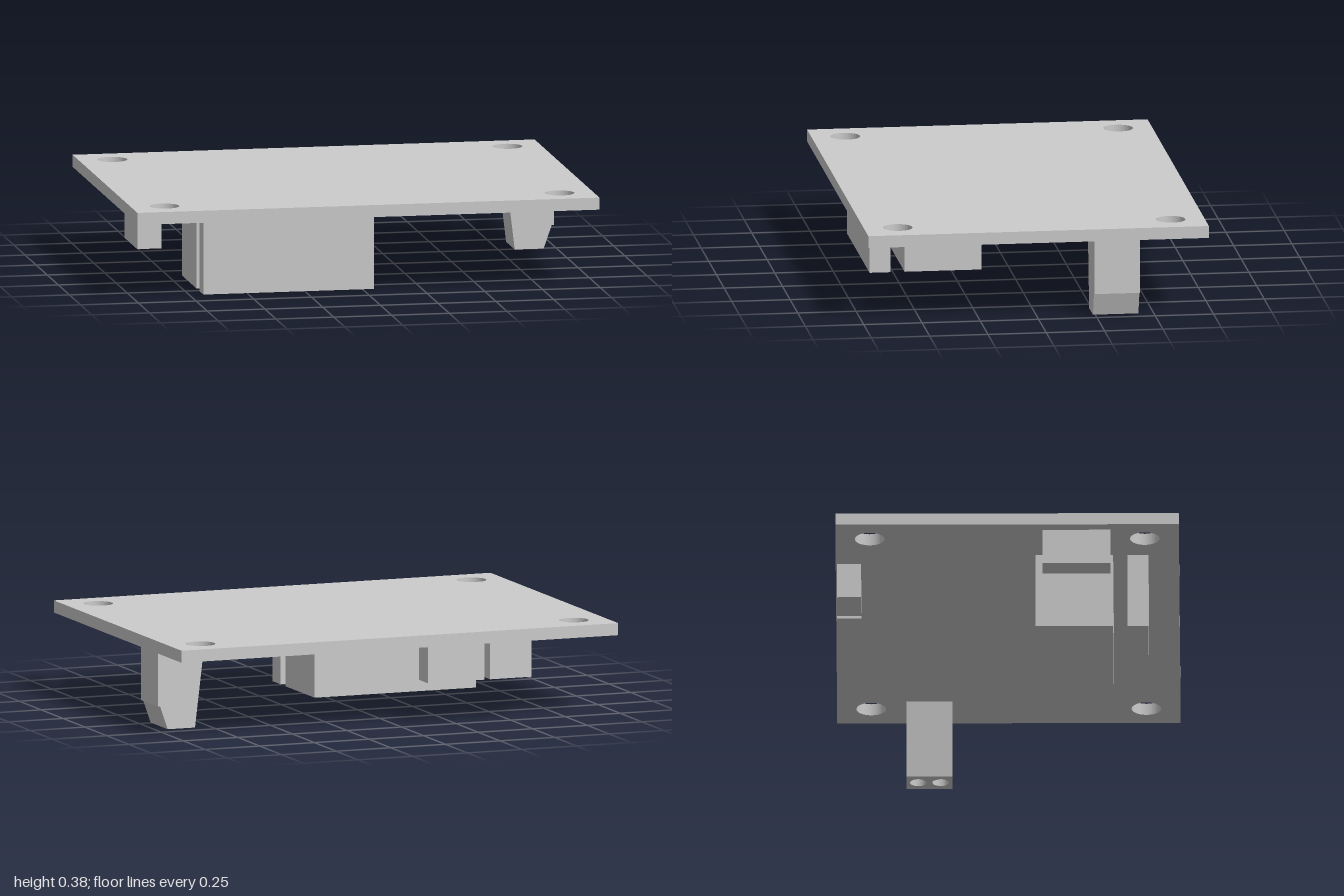
import * as THREE from 'three';

const UNDER = 0.333, TOP = 0.385; // board faces
const mat = new THREE.MeshStandardMaterial({ color: 0xcccccc });

function part(name, geometry) {
  const mesh = new THREE.Mesh(geometry, mat);
  mesh.name = name;
  return mesh;
}

// Block hanging from the underside of the board down to height y
function hangingBlock(name, x0, x1, z0, z1, y) {
  const mesh = part(name, new THREE.BoxGeometry(x1 - x0, UNDER - y, z1 - z0));
  mesh.position.set((x0 + x1) / 2, (UNDER + y) / 2, (z0 + z1) / 2);
  return mesh;
}

// Horizontal slab with round holes; holes are [x, z, radius]
function drilledSlab(x0, x1, z0, z1, y0, y1, holes) {
  const shape = new THREE.Shape([[x0, -z1], [x1, -z1], [x1, -z0], [x0, -z0]].map(p => new THREE.Vector2(...p)));
  for (const [x, z, r] of holes) {
    shape.holes.push(new THREE.Path().absarc(x, -z, r, 0, Math.PI * 2, true));
  }
  const geo = new THREE.ExtrudeGeometry(shape, { depth: y1 - y0, bevelEnabled: false, curveSegments: 24 });
  return geo.rotateX(-Math.PI / 2).translate(0, y0, 0);
}

function screwTerminal() {
  const group = new THREE.Group();
  group.name = 'screwTerminal';
  const z0 = -0.435, z1 = -0.24, step = 0.1;

  // Upper body, slanted on the inner side
  const profile = new THREE.Shape([[0.78, UNDER], [0.808, step], [0.99, step], [0.99, UNDER]].map(p => new THREE.Vector2(...p)));
  const body = new THREE.ExtrudeGeometry(profile, { depth: z1 - z0, bevelEnabled: false });
  group.add(part('terminalBody', body.translate(0, 0, z0)));

  // Tapered foot with two screw wells
  const foot = drilledSlab(0.808, 0.98, z0, z1, 0, step, [[0.882, -0.385, 0.035], [0.882, -0.29, 0.035]]);
  const pos = foot.attributes.position;
  for (let i = 0; i < pos.count; i++) {
    if (pos.getY(i) > 0.01) continue;
    if (pos.getX(i) < 0.81) pos.setX(i, 0.82);
    if (pos.getX(i) > 0.97) pos.setX(i, 0.945);
  }
  foot.computeVertexNormals();
  group.add(part('terminalFoot', foot));
  return group;
}

export function createModel() {
  const model = new THREE.Group();
  model.name = 'circuitBoard';

  // Board with four mounting holes
  const holes = [];
  for (const sx of [-1, 1]) for (const sz of [-1, 1]) holes.push([sx * 0.855, sz * 0.585, 0.063]);
  model.add(part('board', drilledSlab(-1, 1, -0.73, 0.73, UNDER, TOP, holes)));

  // Components under the board
  model.add(
    hangingBlock('mainBlock', -0.69, 0.05, 0.12, 0.45, 0),
    hangingBlock('slimBlock', -0.69, 0.05, 0.51, 0.6, 0),
    hangingBlock('sideConnector', -0.945, -0.84, 0.15, 0.44, 0.177),
    hangingBlock('rearConnectorLong', -0.39, -0.13, -0.725, -0.622, 0.177),
    hangingBlock('rearConnectorShort', -0.605, -0.415, -0.725, -0.622, 0.177),
    screwTerminal()
  );
  return model;
}
